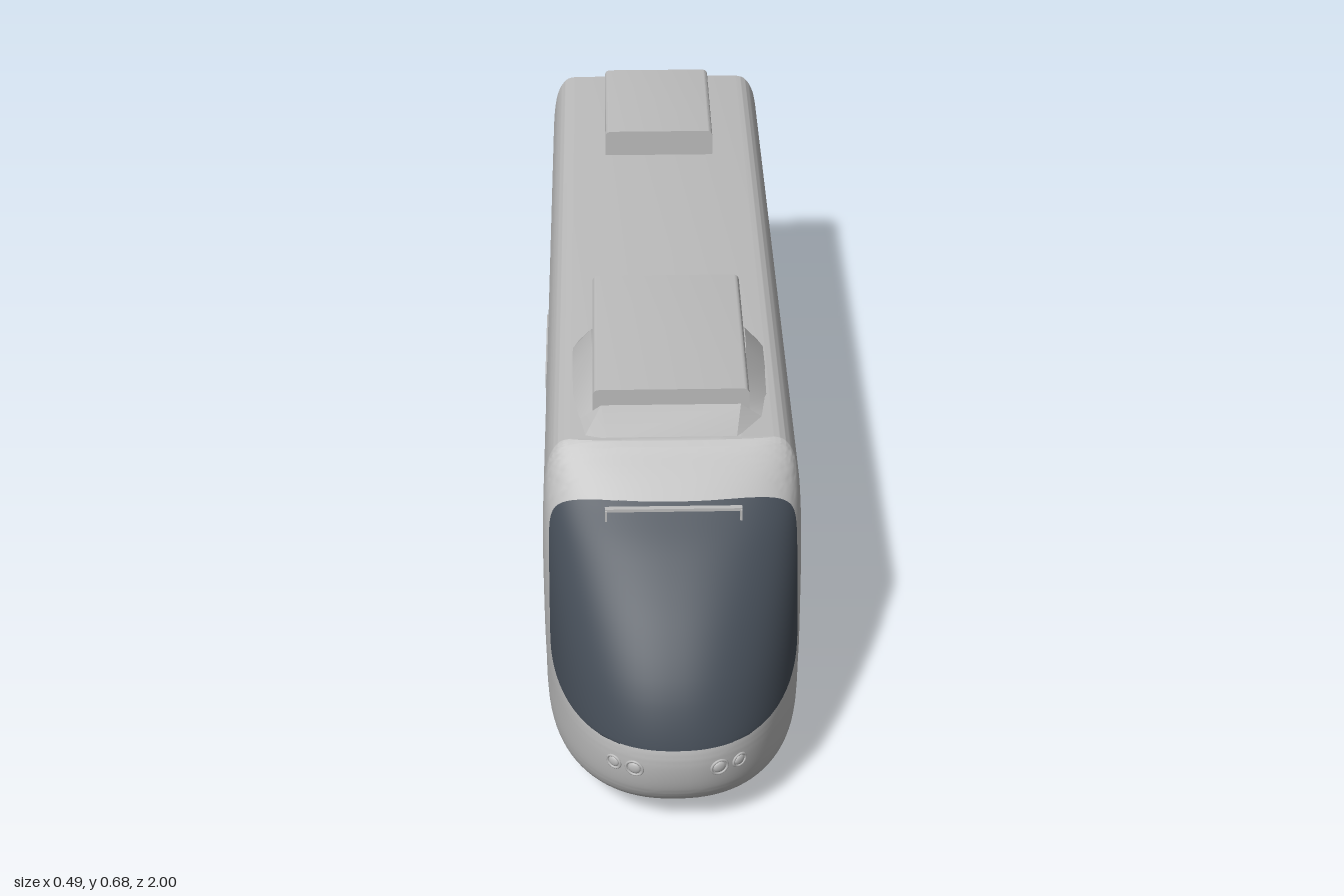
import * as THREE from 'three';
import { toCreasedNormals } from 'three/addons/utils/BufferGeometryUtils.js';

const paint = new THREE.MeshStandardMaterial({ color: 0xbcbcbc });
paint.name = 'grey paint';
const glass = new THREE.MeshStandardMaterial({ color: 0x444c56 });
glass.name = 'dark glass';

// Hull profile: half width, height, nose tip z
const profile = new THREE.CatmullRomCurve3([
  [0.228, 0.055, 0.94], [0.237, 0.08, 0.968], [0.24, 0.115, 0.988], [0.241, 0.18, 1],
  [0.242, 0.22, 0.995], [0.2425, 0.3, 0.96], [0.2425, 0.39, 0.89], [0.24, 0.485, 0.785],
  [0.235, 0.545, 0.702], [0.227, 0.582, 0.652], [0.215, 0.605, 0.62], [0.203, 0.616, 0.606],
  [0.187, 0.62, 0.6],
].map((p) => new THREE.Vector3(...p))).getPoints(72);
const NOSE_START = 0.59;
const POWER = 2.3;

// Profile at a given height
function profileAt(y) {
  let i = 1;
  while (i < profile.length - 1 && profile[i].y < y) i++;
  const a = profile[i - 1], b = profile[i];
  return a.clone().lerp(b, THREE.MathUtils.clamp((y - a.y) / (b.y - a.y), 0, 1));
}

// Point on the nose surface for given x and y
function nosePoint(x, y) {
  const p = profileAt(y);
  const k = Math.max(0, 1 - Math.pow(Math.abs(x) / p.x, POWER));
  return new THREE.Vector3(x, y, NOSE_START + (p.z - NOSE_START) * Math.pow(k, 1 / POWER));
}

// Surface from rows of points, facing +z when rows go up and columns go right
function surface(rows) {
  const n = rows[0].length, index = [];
  for (let i = 0; i < rows.length - 1; i++) {
    for (let j = 0; j < n - 1; j++) {
      const a = i * n + j, d = a + n;
      index.push(a, a + 1, d + 1, a, d + 1, d);
    }
  }
  const g = new THREE.BufferGeometry().setFromPoints(rows.flat());
  g.setIndex(index);
  g.computeVertexNormals();
  return g;
}

export function createModel() {
  const model = new THREE.Group();
  const add = (name, geometry, material = paint, x = 0, y = 0, z = 0) => {
    const mesh = new THREE.Mesh(geometry, material);
    mesh.name = name;
    mesh.position.set(x, y, z);
    model.add(mesh);
    return mesh;
  };
  const box = (name, w, h, d, x, y, z) => add(name, new THREE.BoxGeometry(w, h, d), paint, x, y, z);

  // Straight body
  const section = new THREE.Shape([
    ...profile.map((p) => new THREE.Vector2(p.x, p.y)),
    ...profile.map((p) => new THREE.Vector2(-p.x, p.y)).reverse(),
  ]);
  const bodyGeo = new THREE.ExtrudeGeometry(section, { depth: NOSE_START + 1, bevelEnabled: false });
  add('body', toCreasedNormals(bodyGeo, 0.6), paint, 0, 0, -1);

  // Rounded nose, closed underneath and at the roof
  const rows = profile.map((p) => Array.from({ length: 49 }, (_, j) => {
    const t = (j / 48 - 0.5) * Math.PI, s = Math.sin(t);
    const c = Math.pow(Math.max(0, Math.cos(t)), 2 / POWER);
    return new THREE.Vector3(
      p.x * Math.sign(s) * Math.pow(Math.abs(s), 2 / POWER), p.y,
      NOSE_START + (p.z - NOSE_START) * c);
  }));
  const flatten = (row) => row.map((v) => new THREE.Vector3(v.x, v.y, NOSE_START));
  rows.unshift(flatten(rows[0]));
  rows.push(flatten(rows[rows.length - 1]));
  add('nose', toCreasedNormals(surface(rows), 0.6));

  // Windscreen: rounded patch lifted off the nose surface
  const screenRows = Array.from({ length: 49 }, (_, i) => {
    const v = Math.sin((i / 48 - 0.5) * Math.PI);
    const half = Math.max(0.1, 0.225 * Math.pow(1 - Math.pow(Math.abs(v), 8), 0.2));
    return Array.from({ length: 49 }, (_, j) =>
      nosePoint(half * Math.sin((j / 48 - 0.5) * Math.PI), 0.3805 + 0.1675 * v));
  });
  const screen = surface(screenRows);
  const pos = screen.attributes.position, nor = screen.attributes.normal;
  for (let i = 0; i < pos.count; i++) {
    pos.setXYZ(i, pos.getX(i) + nor.getX(i) * 0.004, pos.getY(i) + nor.getY(i) * 0.004,
      pos.getZ(i) + nor.getZ(i) * 0.004);
  }
  add('windscreen', screen, glass);

  // Wiper bar with its two end arms
  box('wiperBar', 0.25, 0.006, 0.01, 0, 0.545, 0.715);
  for (const s of [-1, 1]) box('wiperArm', 0.004, 0.022, 0.014, s * 0.123, 0.535, 0.717);

  // Headlights: paired rims and domed lenses
  for (const s of [-1, 1]) {
    for (const [x, r] of [[0.077, 0.016], [0.114, 0.014]]) {
      const p = nosePoint(s * x, 0.165);
      const dx = nosePoint(s * x + 0.004, 0.165).sub(p), dy = nosePoint(s * x, 0.169).sub(p);
      const n = dx.cross(dy).normalize();
      const light = new THREE.Group();
      light.name = 'headlight';
      const rim = new THREE.Mesh(new THREE.TorusGeometry(r, 0.0025, 8, 28), paint);
      rim.name = 'headlightRim';
      const lens = new THREE.Mesh(new THREE.SphereGeometry(r * 0.75, 20, 12), paint);
      lens.name = 'headlightLens';
      lens.scale.z = 0.4;
      light.add(rim, lens);
      light.position.copy(p);
      light.lookAt(p.clone().add(n));
      model.add(light);
    }
  }

  // Roof units with rounded upper edges
  const roofUnit = (name, half, top, z0, z1) => {
    const r = 0.014, s = new THREE.Shape();
    s.moveTo(-half, 0.61);
    s.lineTo(half, 0.61);
    s.lineTo(half, top - r);
    s.quadraticCurveTo(half, top, half - r, top);
    s.lineTo(-half + r, top);
    s.quadraticCurveTo(-half, top, -half, top - r);
    const g = new THREE.ExtrudeGeometry(s, { depth: z1 - z0, bevelEnabled: false, curveSegments: 6 });
    add(name, toCreasedNormals(g, 0.6), paint, 0, 0, z0);
  };
  roofUnit('frontRoofUnit', 0.146, 0.681, 0.08, 0.52);
  roofUnit('rearRoofUnit', 0.118, 0.677, -0.91, -0.585);

  // Fairing around the front roof unit: z, base half width, top half width, height
  const fairing = [
    [0.59, 0.165, 0.12, 0.621], [0.52, 0.176, 0.13, 0.648], [0.44, 0.187, 0.143, 0.66],
    [0.34, 0.189, 0.148, 0.665], [0.26, 0.189, 0.149, 0.662], [0.23, 0.178, 0.149, 0.645],
    [0.195, 0.152, 0.148, 0.621],
  ].map(([z, base, top, y]) => [[-base, 0.615], [-top, y], [top, y], [base, 0.615]]
    .map(([x, h]) => new THREE.Vector3(x, h, z)));
  add('roofFairing', toCreasedNormals(surface(fairing), 0.5));

  // Side doors: one leaf on the right, two on the left
  box('rightDoor', 0.006, 0.375, 0.245, -0.241, 0.278, -0.025);
  for (const z of [-0.087, 0.037]) box('leftDoorLeaf', 0.006, 0.375, 0.121, 0.241, 0.278, z);

  // Undercarriage plate and flanged wheels
  box('bogiePlate', 0.27, 0.012, 0.33, 0, 0.054, 0.565);
  const wheelGeo = new THREE.LatheGeometry([
    [0, -0.012], [0.055, -0.012], [0.055, -0.006], [0.047, -0.003], [0.045, 0.012], [0, 0.012],
  ].map(([r, h]) => new THREE.Vector2(r, h)), 36);
  const wheel = toCreasedNormals(wheelGeo, 0.5);
  for (const s of [-1, 1]) {
    for (const z of [0.4, 0.73]) {
      add('wheel', wheel, paint, s * 0.138, 0.057, z).rotation.z = -s * Math.PI / 2;
    }
  }
  return model;
}
